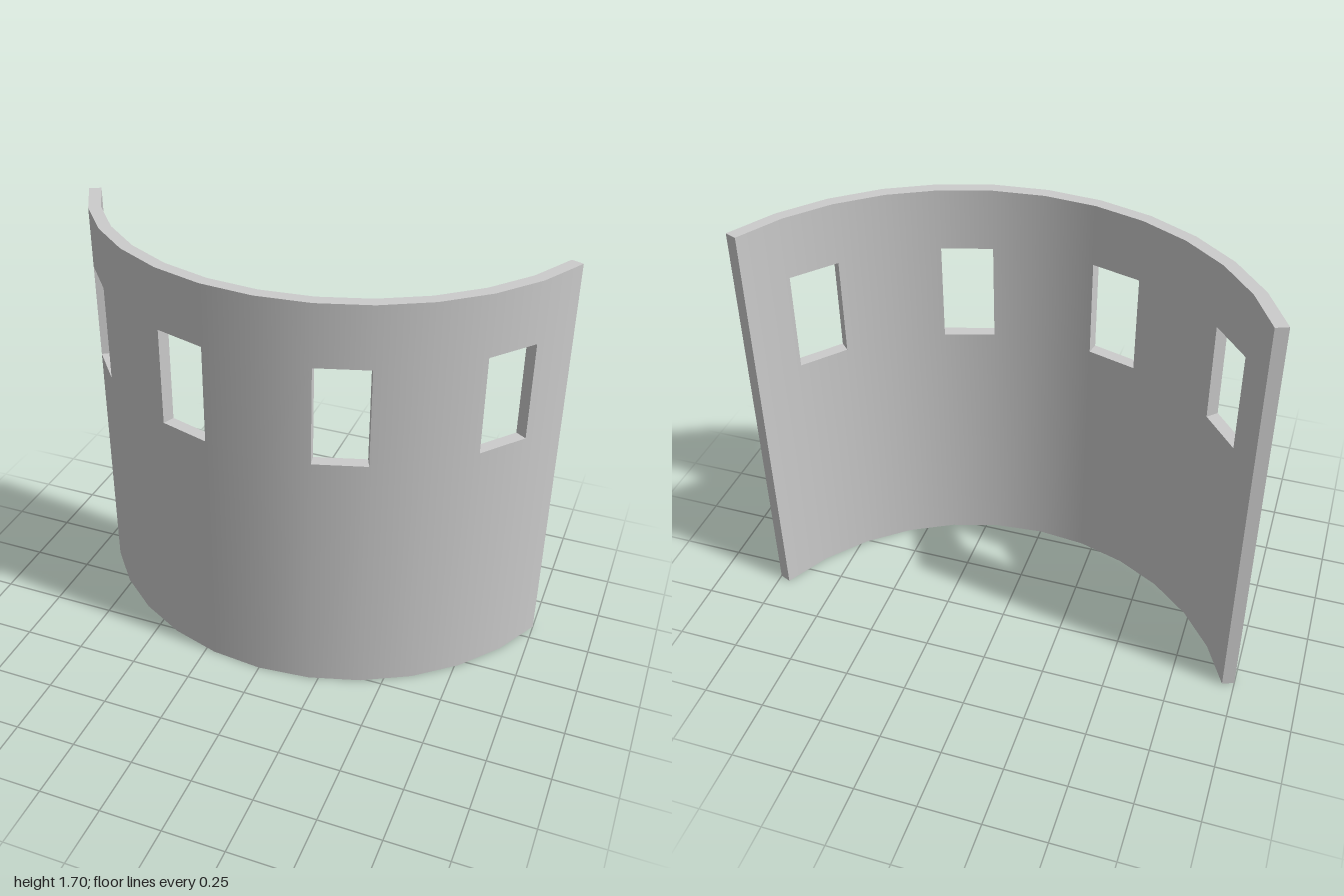
import * as THREE from 'three';

const SEGMENTS = 12;
const ARC = Math.PI * 0.75;
const OUTER = 1 / Math.sin(ARC / 2);
const INNER = OUTER - 0.05;
const CENTRE_Z = -(OUTER + INNER * Math.cos(ARC / 2)) / 2;
const LEVELS = [0, 1.05, 1.45, 1.7]; // foot, window sill, window head, top

const angle = (i) => (i / SEGMENTS - 0.5) * ARC;
const point = (r, i, j) => new THREE.Vector3(
  r * Math.sin(angle(i)), LEVELS[j], r * Math.cos(angle(i)) + CENTRE_Z);
const radial = (i, sign) => new THREE.Vector3(
  sign * Math.sin(angle(i)), 0, sign * Math.cos(angle(i)));

// A cell of the wall is solid unless it is a window or lies outside the wall
const isSolid = (i, j) => i >= 0 && i < SEGMENTS && j >= 0 && j < 3
  && !(j === 1 && i % 3 === 1);

function wallGeometry() {
  const positions = [], normals = [];

  // Corners run anticlockwise; flat normals unless given
  function quad(corners, cornerNormals) {
    const [a, b, c] = corners;
    const flat = b.clone().sub(a).cross(c.clone().sub(a)).normalize();
    for (const k of [0, 1, 2, 0, 2, 3]) {
      positions.push(...corners[k].toArray());
      normals.push(...(cornerNormals ? cornerNormals[k] : flat).toArray());
    }
  }
  // Horizontal strip at level j, radial strip at edge i
  const ledge = (i, j) => [point(OUTER, i, j), point(OUTER, i + 1, j),
    point(INNER, i + 1, j), point(INNER, i, j)];
  const jamb = (i, j) => [point(OUTER, i, j), point(INNER, i, j),
    point(INNER, i, j + 1), point(OUTER, i, j + 1)];

  for (let i = 0; i < SEGMENTS; i++) {
    for (let j = 0; j < 3; j++) {
      if (!isSolid(i, j)) continue;
      // Curved outer and inner faces, smoothly shaded
      const face = (r) => [point(r, i, j), point(r, i + 1, j),
        point(r, i + 1, j + 1), point(r, i, j + 1)];
      const shade = (s) => [radial(i, s), radial(i + 1, s), radial(i + 1, s), radial(i, s)];
      quad(face(OUTER), shade(1));
      quad(face(INNER).reverse(), shade(-1).reverse());
      // Wall edges and window reveals
      if (!isSolid(i, j + 1)) quad(ledge(i, j + 1));
      if (!isSolid(i, j - 1)) quad(ledge(i, j).reverse());
      if (!isSolid(i + 1, j)) quad(jamb(i + 1, j));
      if (!isSolid(i - 1, j)) quad(jamb(i, j).reverse());
    }
  }
  const geometry = new THREE.BufferGeometry();
  geometry.setAttribute('position', new THREE.Float32BufferAttribute(positions, 3));
  geometry.setAttribute('normal', new THREE.Float32BufferAttribute(normals, 3));
  return geometry;
}

export function createModel() {
  const group = new THREE.Group();
  group.name = 'curvedWindowWall';
  const wall = new THREE.Mesh(wallGeometry(),
    new THREE.MeshStandardMaterial({ color: 0xcccccc }));
  wall.name = 'wall';
  group.add(wall);
  return group;
}
